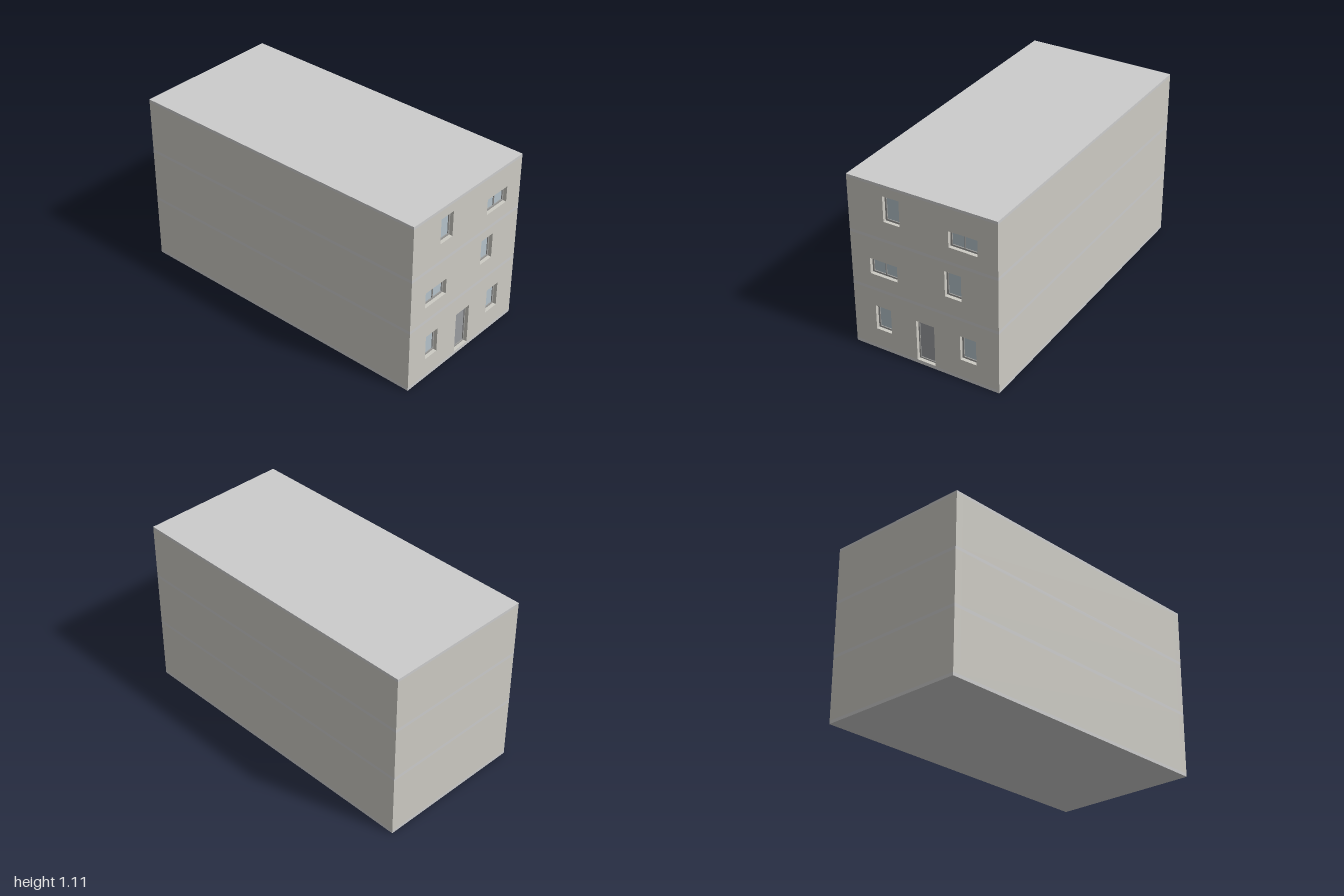
import * as THREE from 'three';

const mat = (color) => new THREE.MeshStandardMaterial({ color });
const W = 0.96, D = 2, T = 0.05, RECESS = 0.022;

// Rectangle outline, usable as a shape or as a hole
function rect(Type, x0, y0, x1, y1) {
  const p = new Type();
  p.moveTo(x0, y0);
  p.lineTo(x1, y0);
  p.lineTo(x1, y1);
  p.lineTo(x0, y1);
  p.closePath();
  return p;
}

// Openings of each storey: [x0, y0, x1, y1, kind]
const storeys = [
  { y0: 0.02, y1: 0.398, openings: [
    [-0.334, 0.135, -0.23, 0.294, 'window'],
    [0.23, 0.135, 0.334, 0.294, 'window'],
    [-0.06, 0.023, 0.06, 0.288, 'door'],
  ] },
  { y0: 0.418, y1: 0.742, openings: [
    [-0.354, 0.505, -0.172, 0.606, 'doubleWindow'],
    [0.14, 0.526, 0.246, 0.688, 'window'],
  ] },
  { y0: 0.762, y1: 1.088, openings: [
    [-0.246, 0.873, -0.14, 1.034, 'window'],
    [0.172, 0.849, 0.354, 0.95, 'doubleWindow'],
  ] },
];
const slabs = [[0, 0.02], [0.398, 0.418], [0.742, 0.762], [1.088, 1.105]];

export function createModel() {
  const model = new THREE.Group();
  model.name = 'building';
  const wallMat = mat(0xcccac3), slabMat = mat(0xc0c0bd), frameMat = mat(0x9c9c9a);
  const glassMat = mat(0xb4c2ca), doorMat = mat(0x999b9f);

  const add = (parent, name, geometry, material, x, y, z) => {
    const mesh = new THREE.Mesh(geometry, material);
    mesh.name = name;
    mesh.position.set(x, y, z);
    parent.add(mesh);
  };
  const extrude = (shape, depth) => new THREE.ExtrudeGeometry(shape, { depth, bevelEnabled: false });

  // Frame with its pane or door leaf, set back in the wall
  function addOpening([x0, y0, x1, y1, kind]) {
    const group = new THREE.Group();
    group.name = kind;
    model.add(group);
    const b = kind === 'door' ? 0.008 : 0.011;
    const w = x1 - x0, h = y1 - y0, cx = (x0 + x1) / 2, cy = (y0 + y1) / 2;
    const zFace = D / 2 - RECESS, depth = 0.02;

    const outline = rect(THREE.Shape, x0, y0, x1, y1);
    outline.holes.push(rect(THREE.Path, x0 + b, y0 + b, x1 - b, y1 - b));
    add(group, 'frame', extrude(outline, depth), frameMat, 0, 0, zFace - depth);

    const isDoor = kind === 'door';
    add(group, isDoor ? 'doorLeaf' : 'glass', new THREE.BoxGeometry(w - 2 * b, h - 2 * b, 0.008),
      isDoor ? doorMat : glassMat, cx, cy, zFace - 0.01);
    if (kind === 'doubleWindow') {
      add(group, 'mullion', new THREE.BoxGeometry(0.006, h - 2 * b, depth), frameMat, cx, cy, zFace - depth / 2);
    }
  }

  // Walls of each storey, with the openings cut through the front one
  for (const { y0, y1, openings } of storeys) {
    const h = y1 - y0, cy = (y0 + y1) / 2;
    const front = rect(THREE.Shape, -W / 2, y0, W / 2, y1);
    for (const [a, b, c, d] of openings) front.holes.push(rect(THREE.Path, a, b, c, d));
    add(model, 'frontWall', extrude(front, T), wallMat, 0, 0, D / 2 - T);
    add(model, 'backWall', new THREE.BoxGeometry(W, h, T), wallMat, 0, cy, -D / 2 + T / 2);
    for (const s of [-1, 1]) {
      add(model, s > 0 ? 'leftWall' : 'rightWall', new THREE.BoxGeometry(T, h, D - 2 * T),
        wallMat, s * (W - T) / 2, cy, 0);
    }
    openings.forEach(addOpening);
  }

  // Floor slabs and flat roof, flush with the walls
  slabs.forEach(([y0, y1], i) => {
    add(model, i === slabs.length - 1 ? 'roofSlab' : 'floorSlab',
      new THREE.BoxGeometry(W, y1 - y0, D), slabMat, 0, (y0 + y1) / 2, 0);
  });

  return model;
}
